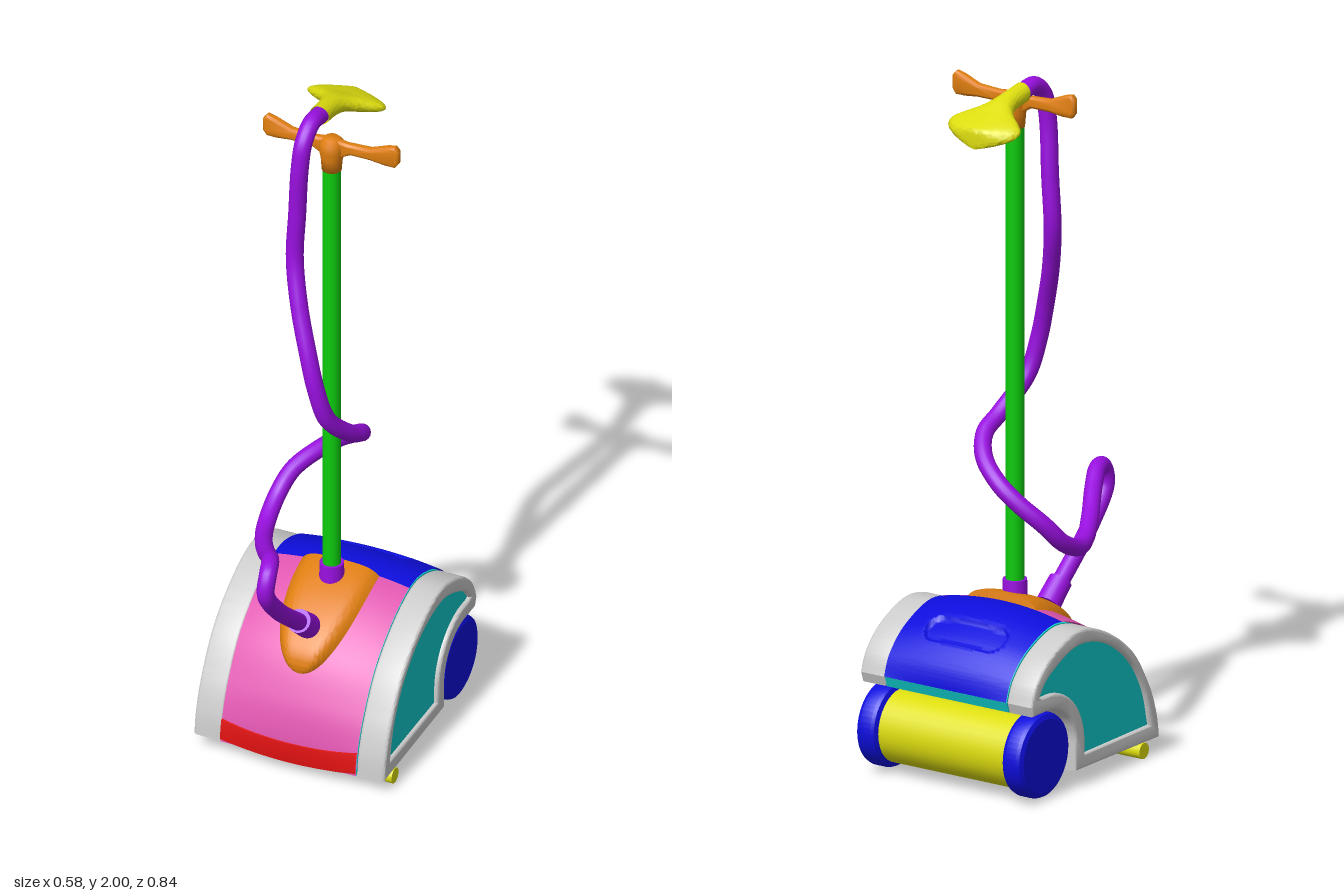
import * as THREE from 'three';
import { toCreasedNormals } from 'three/addons/utils/BufferGeometryUtils.js';

const COLORS = {
  grey: 0xcccccc, pink: 0xe055b0, blue: 0x0d0ddd, green: 0x0ccc0c, orange: 0xe07f10,
  purple: 0x9910e0, cyan: 0x10cccc, yellow: 0xdddd10, red: 0xdd1010,
};
const WHEEL = { z: -0.296, y: 0.128, r: 0.122 };
const HALF = 0.206; // half width of the middle body

const v2 = (list) => list.map(([a, b]) => new THREE.Vector2(a, b));
const v3 = (list) => list.map((p) => new THREE.Vector3(...p));

// Surface from a rule f(u, v); its front is on the side of dv x du
function grid(f, nu, nv, crease = 0.7) {
  const pos = [], index = [];
  for (let i = 0; i <= nu; i++)
    for (let j = 0; j <= nv; j++) pos.push(...f(i / nu, j / nv));
  for (let i = 0; i < nu; i++)
    for (let j = 0; j < nv; j++) {
      const a = i * (nv + 1) + j, c = a + nv + 1;
      index.push(a, a + 1, c, a + 1, c + 1, c);
    }
  const g = new THREE.BufferGeometry();
  g.setAttribute('position', new THREE.Float32BufferAttribute(pos, 3));
  g.setIndex(index);
  return toCreasedNormals(g, crease);
}

// Side outline in (z, y): a curved top, then the wheel arch and a flat bottom
const outerTop = v2([[0.24, 0.045], [0.228, 0.12], [0.19, 0.215], [0.11, 0.33], [-0.02, 0.42],
  [-0.15, 0.455], [-0.275, 0.415], [-0.35, 0.352], [-0.378, 0.29]]);
const innerTop = v2([[0.195, 0.09], [0.165, 0.2], [0.095, 0.305], [-0.02, 0.385], [-0.155, 0.41],
  [-0.285, 0.36], [-0.335, 0.31]]);
function outline(top, r, bottom, Type) {
  const s = new Type();
  s.moveTo(top[0].x, top[0].y);
  s.splineThru(top.slice(1));
  s.lineTo(top[top.length - 1].x + 0.01, WHEEL.y + r);
  s.lineTo(WHEEL.z, WHEEL.y + r);
  s.absarc(WHEEL.z, WHEEL.y, r, Math.PI / 2, 0, true);
  s.lineTo(WHEEL.z + r, bottom);
  s.closePath();
  return s;
}

// Extrude a (z, y) shape across x0..x1
function slab(shape, x0, x1, bevel = 0) {
  const g = new THREE.ExtrudeGeometry(shape, {
    depth: x1 - x0 - 2 * bevel, bevelEnabled: bevel > 0, bevelSize: bevel, bevelThickness: bevel,
    bevelOffset: -bevel, bevelSegments: 3, curveSegments: 12,
  });
  g.rotateY(-Math.PI / 2).translate(x1 - bevel, 0, 0);
  return toCreasedNormals(g, 0.6);
}

// Point on the bulging middle skin: t along the top curve, x across, lifted by h
const profile = new THREE.SplineCurve(outerTop);
function skin(t, x, h = 0) {
  const p = profile.getPointAt(t), d = profile.getTangentAt(t);
  const s = x / HALF;
  const k = h + 0.004 + 0.025 * Math.pow(Math.max(0, Math.sin(Math.PI * t)), 0.7) * (1 - s * s);
  return [x, p.y - d.x * k, p.x + d.y * k];
}
function tAtZ(z) {
  let t = 0;
  while (t < 1 && profile.getPointAt(t).x > z) t += 0.002;
  return t;
}

export function createModel() {
  const model = new THREE.Group();
  const add = (name, geometry, color, double = false) => {
    const material = new THREE.MeshStandardMaterial({ color: COLORS[color] });
    if (double) material.side = THREE.DoubleSide;
    const mesh = new THREE.Mesh(geometry, material);
    mesh.name = name;
    model.add(mesh);
    return mesh;
  };
  const cylX = (r, len) => new THREE.CylinderGeometry(r, r, len, 32).rotateZ(Math.PI / 2);

  // Inner body and bottom plate
  add('innerBody', slab(outline(outerTop, 0.132, 0.05, THREE.Shape), -HALF, HALF), 'cyan');
  const plate = new THREE.Shape(v2([[-0.15, 0.055], [-0.13, 0.047], [0.19, 0.036], [0.2, 0.06], [-0.15, 0.06]]));
  add('bottomPlate', slab(plate, -0.2, 0.2), 'cyan');

  // Side frames with recessed panels, wheels and front casters
  const frame = outline(outerTop, 0.132, 0.05, THREE.Shape);
  frame.holes.push(outline(innerTop, 0.178, 0.09, THREE.Path));
  const panel = outline(innerTop, 0.178, 0.09, THREE.Shape);
  const wheelProfile = v2([[0, -0.034], [0.105, -0.034], [0.118, -0.028], [WHEEL.r, -0.018],
    [WHEEL.r, 0.018], [0.118, 0.028], [0.105, 0.034], [0, 0.034]]);
  for (const [side, s] of [['left', 1], ['right', -1]]) {
    const span = (a, b) => (s > 0 ? [a, b] : [-b, -a]);
    add(side + 'SideFrame', slab(frame, ...span(0.205, 0.29), 0.008), 'grey');
    add(side + 'SidePanel', slab(panel, ...span(0.2, 0.278)), 'cyan');
    const wheel = toCreasedNormals(new THREE.LatheGeometry(wheelProfile, 48), 0.4).rotateZ(Math.PI / 2);
    add(side + 'Wheel', wheel, 'blue').position.set(s * 0.246, WHEEL.y, WHEEL.z);
    add(side + 'Caster', cylX(0.023, 0.084), 'yellow').position.set(s * 0.247, 0.023, 0.165);
  }
  add('rearRoller', cylX(0.105, 0.43), 'yellow').position.set(0, WHEEL.y, WHEEL.z);

  // Front cover, rear cover with a shallow grip recess, and the front bumper
  const tSplit = tAtZ(-0.11);
  add('frontCover', grid((u, v) => skin(u * tSplit, (2 * v - 1) * HALF), 40, 24), 'pink', true);
  add('rearCover', grid((u, v) => {
    const t = tSplit + u * (1 - tSplit), x = (2 * v - 1) * HALF;
    const d = Math.hypot(Math.max(Math.abs(x) - 0.095, 0), profile.getPointAt(t).x + 0.272) - 0.037;
    return skin(t, x, -0.012 * (1 - THREE.MathUtils.smoothstep(d, -0.005, 0.003)));
  }, 80, 80, 1), 'blue', true);
  add('frontBumper', grid((u, v) => {
    const x = (2 * v - 1) * HALF, s = x / HALF;
    const p = skin(0.085 * u, x, u === 0 || u === 1 ? -0.012 : 0.005);
    return [p[0], p[1] - 0.018 * (1 - s * s), p[2]];
  }, 8, 24), 'red', true);

  // Raised hose and pole mount that follows the front cover
  const tFront = tAtZ(0.155);
  add('mount', grid((u, v) => {
    const a = u * u * (3 - 2 * u), q = 2 * v - 1;
    const w = 0.116 * Math.sqrt(1 - Math.pow(1 - a, 2.5));
    const lift = u === 1 ? -0.01 : 0.034 * (1 - q ** 6) * (1 - Math.pow(1 - a, 12)) * (1 - 0.35 * a);
    return skin(tFront + a * (tSplit - tFront), q * w, lift);
  }, 48, 32), 'orange', true);

  // Pole and its collar
  add('pole', new THREE.CylinderGeometry(0.026, 0.026, 1.38, 24), 'green').position.set(0, 1.18, -0.045);
  add('poleCollar', new THREE.CylinderGeometry(0.034, 0.036, 0.08, 24), 'purple').position.set(0, 0.487, -0.045);

  // Crossbar grip: mirrored outline, plus the socket on the pole
  const half = [[0.026, 1.85], [0.034, 1.89], [0.06, 1.905], [0.12, 1.905], [0.165, 1.9], [0.195, 1.9],
    [0.206, 1.915], [0.206, 1.955], [0.195, 1.968], [0.17, 1.962], [0.12, 1.942], [0.05, 1.938], [0.02, 1.942]];
  const bar = new THREE.Shape(v2([...half, ...half.slice().reverse().map(([x, y]) => [-x, y])]));
  const barGeo = new THREE.ExtrudeGeometry(bar, {
    depth: 0.008, bevelSize: 0.008, bevelThickness: 0.008, bevelOffset: -0.008, bevelSegments: 4,
  });
  add('crossbar', toCreasedNormals(barGeo.translate(0, 0, -0.049), 0.8), 'orange');
  const socket = v2([[0, 1.84], [0.028, 1.84], [0.031, 1.88], [0.036, 1.905], [0.034, 1.93], [0.022, 1.943], [0, 1.945]]);
  add('crossbarSocket', new THREE.LatheGeometry(socket, 24), 'orange').position.z = -0.045;

  // Hose winding round the pole
  const path = new THREE.CatmullRomCurve3(v3([
    [-0.063, 1.963, -0.11], [-0.063, 1.972, -0.045], [-0.065, 1.935, 0], [-0.07, 1.86, 0.014],
    [-0.08, 1.7, 0.01], [-0.085, 1.55, 0.015], [-0.055, 1.42, 0.05], [-0.01, 1.285, 0.086],
    [0.015, 1.19, 0.093], [0.038, 1.085, 0.07], [0.068, 0.99, -0.02], [0.07, 0.95, -0.09],
    [0.03, 0.9, -0.15], [-0.04, 0.845, -0.18], [-0.1, 0.795, -0.172], [-0.16, 0.735, -0.135],
    [-0.183, 0.675, -0.08], [-0.175, 0.635, 0.01], [-0.15, 0.637, 0.08], [-0.1, 0.67, 0.175],
    [-0.05, 0.715, 0.26], [-0.015, 0.75, 0.33], [0, 0.742, 0.378], [0, 0.69, 0.393],
    [0, 0.59, 0.32], [0, 0.41, 0.115]]));
  add('hose', new THREE.TubeGeometry(path, 240, 0.025, 16), 'purple');
  const connector = add('hoseConnector', new THREE.CylinderGeometry(0.034, 0.036, 0.08, 24), 'purple');
  connector.position.set(0, 0.436, 0.143);
  connector.quaternion.setFromUnitVectors(new THREE.Vector3(0, 1, 0), new THREE.Vector3(0, 0.66, 0.75).normalize());

  // Flared hand nozzle: stations of z, y and half width
  const stations = new THREE.CatmullRomCurve3(v3([
    [-0.1, 1.965, 0.029], [-0.16, 1.955, 0.031], [-0.2, 1.945, 0.041], [-0.23, 1.933, 0.066],
    [-0.255, 1.921, 0.1], [-0.275, 1.913, 0.117], [-0.295, 1.905, 0.113], [-0.315, 1.897, 0.088],
    [-0.33, 1.891, 0.046], [-0.335, 1.889, 0]]));
  add('nozzle', grid((u, v) => {
    const p = stations.getPoint(u), a = v * Math.PI * 2, w = Math.max(p.z, 0);
    const h = 0.029 * Math.min(1, Math.sqrt(w / 0.029));
    return [-0.063 + w * Math.cos(a), p.y - h * Math.sin(a), p.x];
  }, 40, 32, 1.2), 'yellow', true);

  return model;
}
